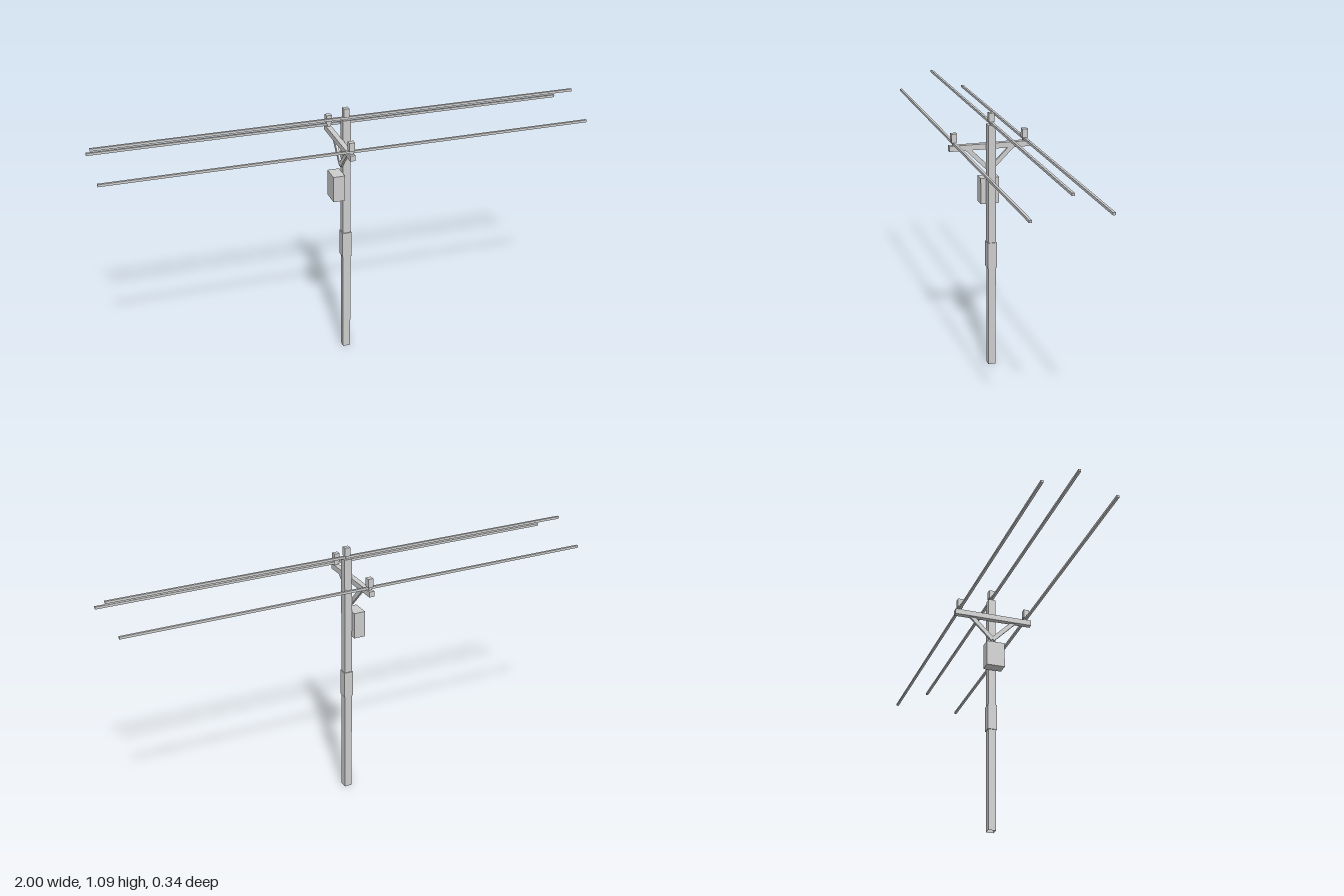
import * as THREE from 'three';

const material = new THREE.MeshStandardMaterial({ color: 0xcccccc, flatShading: true });

function addBox(parent, name, [w, h, d], [x, y, z]) {
  const mesh = new THREE.Mesh(new THREE.BoxGeometry(w, h, d), material);
  mesh.name = name;
  mesh.position.set(x, y, z);
  parent.add(mesh);
  return mesh;
}

// Narrow neck with a wider block on top, standing at height y
function addInsulator(parent, name, x, y, z) {
  const group = new THREE.Group();
  group.name = name;
  group.position.set(x, y, z);
  addBox(group, 'insulatorNeck', [0.013, 0.014, 0.013], [0, 0.007, 0]);
  addBox(group, 'insulatorBlock', [0.023, 0.036, 0.023], [0, 0.032, 0]);
  parent.add(group);
}

export function createModel() {
  const model = new THREE.Group();
  model.name = 'utilityPole';
  const poleX = 0.011, armX = -0.015;

  // Square pole, open at the foot
  const poleShell = new THREE.BoxGeometry(0.032, 1.045, 0.032);
  const faces = Array.from(poleShell.index.array);
  faces.splice(18, 6);
  poleShell.setIndex(faces);
  poleShell.clearGroups();
  const poleMaterial = material.clone();
  poleMaterial.side = THREE.DoubleSide;
  const pole = new THREE.Mesh(poleShell, poleMaterial);
  pole.name = 'pole';
  pole.position.set(poleX, 0.5225, 0);
  model.add(pole);

  // Sleeve around the middle and equipment box behind the pole
  addBox(model, 'sleeve', [0.039, 0.11, 0.039], [poleX, 0.492, 0]);
  addBox(model, 'transformerBox', [0.049, 0.11, 0.078], [-0.029, 0.762, 0]);

  // Crossarm with its diagonal braces, end insulators and wires
  addBox(model, 'crossarm', [0.022, 0.023, 0.338], [armX, 0.95, 0]);
  for (const side of [1, -1]) {
    const label = side > 0 ? 'front' : 'back';
    const brace = addBox(model, label + 'Brace', [0.01, 0.141, 0.0184], [-0.01, 0.9, side * 0.05]);
    brace.rotation.x = side * Math.PI / 4;
    addInsulator(model, label + 'Insulator', armX, 0.961, side * 0.148);
    addBox(model, label + 'Wire', [2, 0.01, 0.01], [0, 0.97, side * 0.148]);
  }

  // Pole-top insulator and its wire
  addInsulator(model, 'topInsulator', poleX, 1.043, 0);
  addBox(model, 'topWire', [2, 0.01, 0.01], [0, 1.051, 0]);

  return model;
}
